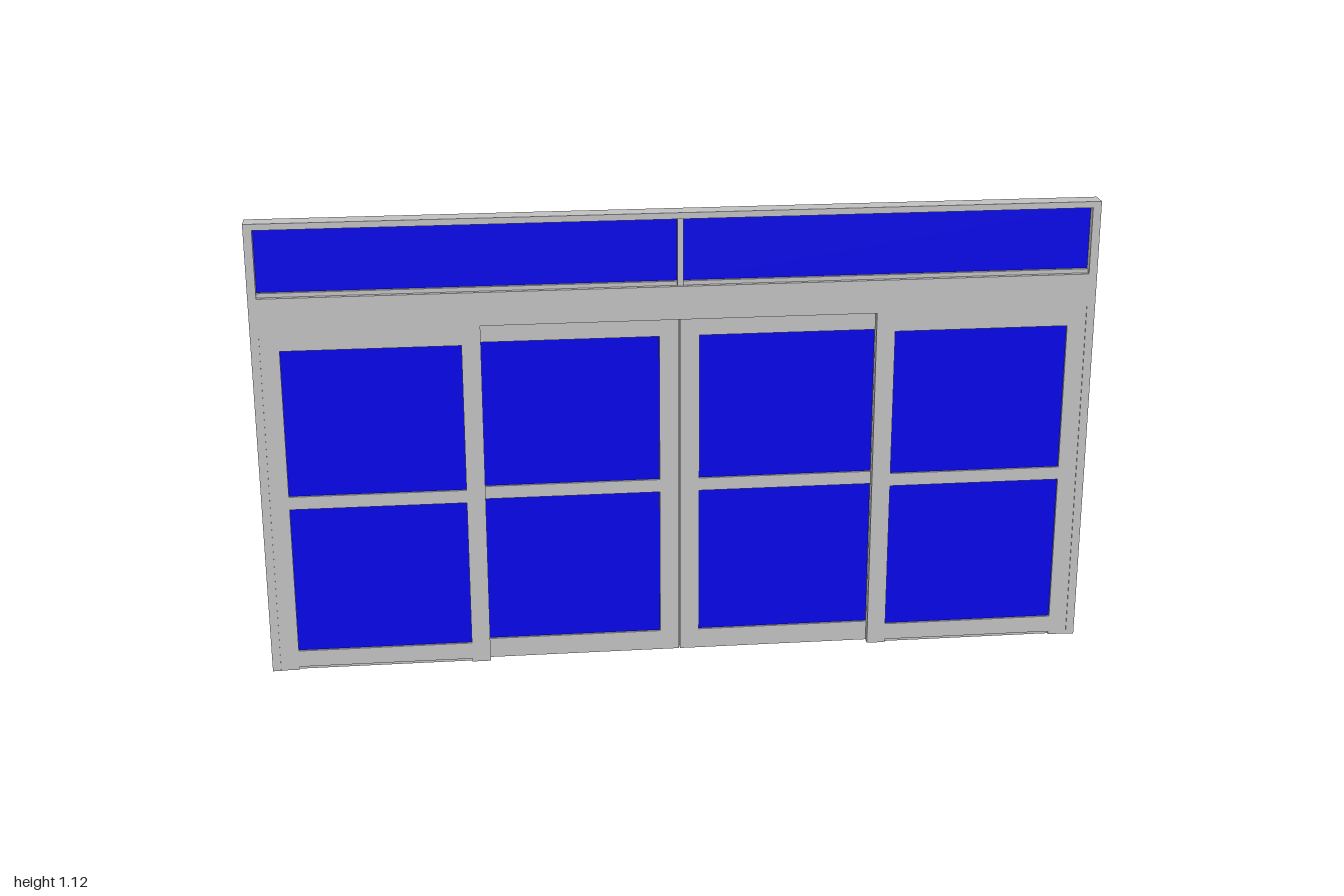
import * as THREE from 'three';

export function createModel() {
  const root = new THREE.Group();
  root.name = 'slidingDoorUnit';
  const metal = new THREE.MeshStandardMaterial({ color: 0xc0c0c0 });
  metal.name = 'grey metal';
  const glass = new THREE.MeshStandardMaterial({ color: 0x0505f8 });
  glass.name = 'blue glass';

  // Box given by its limits on each axis
  function box(parent, name, x0, x1, y0, y1, z0, z1, material = metal) {
    const mesh = new THREE.Mesh(new THREE.BoxGeometry(x1 - x0, y1 - y0, z1 - z0), material);
    mesh.position.set((x0 + x1) / 2, (y0 + y1) / 2, (z0 + z1) / 2);
    mesh.name = name;
    parent.add(mesh);
  }

  // Door leaf: two stiles, three rails and two panes
  function leaf(name, x0, x1, g0, g1, top, railBottom, z0, z1) {
    const g = new THREE.Group();
    g.name = name;
    box(g, 'stile', x0, g0, 0, top, z0, z1);
    box(g, 'stile', g1, x1, 0, top, z0, z1);
    box(g, 'bottomRail', g0, g1, railBottom, 0.05, z0, z1);
    box(g, 'middleRail', g0, g1, 0.42, 0.452, z0, z1);
    box(g, 'topRail', g0, g1, 0.815, top, z0, z1);
    const zm = (z0 + z1) / 2;
    box(g, 'lowerPane', g0, g1, 0.05, 0.42, zm - 0.004, zm + 0.004, glass);
    box(g, 'upperPane', g0, g1, 0.452, 0.815, zm - 0.004, zm + 0.004, glass);
    root.add(g);
  }

  // Outer frame
  const D = 0.023, H = 1.12;
  box(root, 'leftJamb', 0.98, 1, 0, H, -D, D);
  box(root, 'rightJamb', -1, -0.98, 0, H, -D, D);
  box(root, 'headRail', -0.98, 0.98, 1.105, H, -D, D);
  box(root, 'header', -0.98, 0.98, 0.862, 0.943, -D, D);

  // Transom window
  box(root, 'transomMullion', -0.007, 0.007, 0.943, 1.105, -0.018, 0.018);
  box(root, 'transomSill', -0.98, 0.98, 0.943, 0.953, -0.012, 0.012);
  for (const s of [-1, 1]) {
    const a = s < 0 ? -0.98 : 0.007, b = s < 0 ? -0.007 : 0.98;
    box(root, 'transomPane', a, b, 0.953, 1.105, -0.004, 0.004, glass);
  }

  // Fixed side leaves in front, sliding leaves behind
  leaf('rightFixedLeaf', -0.98, -0.47, -0.935, -0.515, 0.862, 0.008, 0.002, 0.021);
  leaf('leftFixedLeaf', 0.47, 0.98, 0.515, 0.935, 0.862, 0.008, 0.002, 0.021);
  leaf('rightSlidingLeaf', -0.515, -0.001, -0.47, -0.048, 0.857, 0, -0.019, 0);
  leaf('leftSlidingLeaf', 0.001, 0.515, 0.048, 0.47, 0.857, 0, -0.019, 0);

  // Thin floor strips under the fixed leaves
  box(root, 'rightFloorStrip', -0.935, -0.515, 0, 0.008, 0.004, 0.015);
  box(root, 'leftFloorStrip', 0.515, 0.935, 0, 0.008, 0.004, 0.015);
  return root;
}
